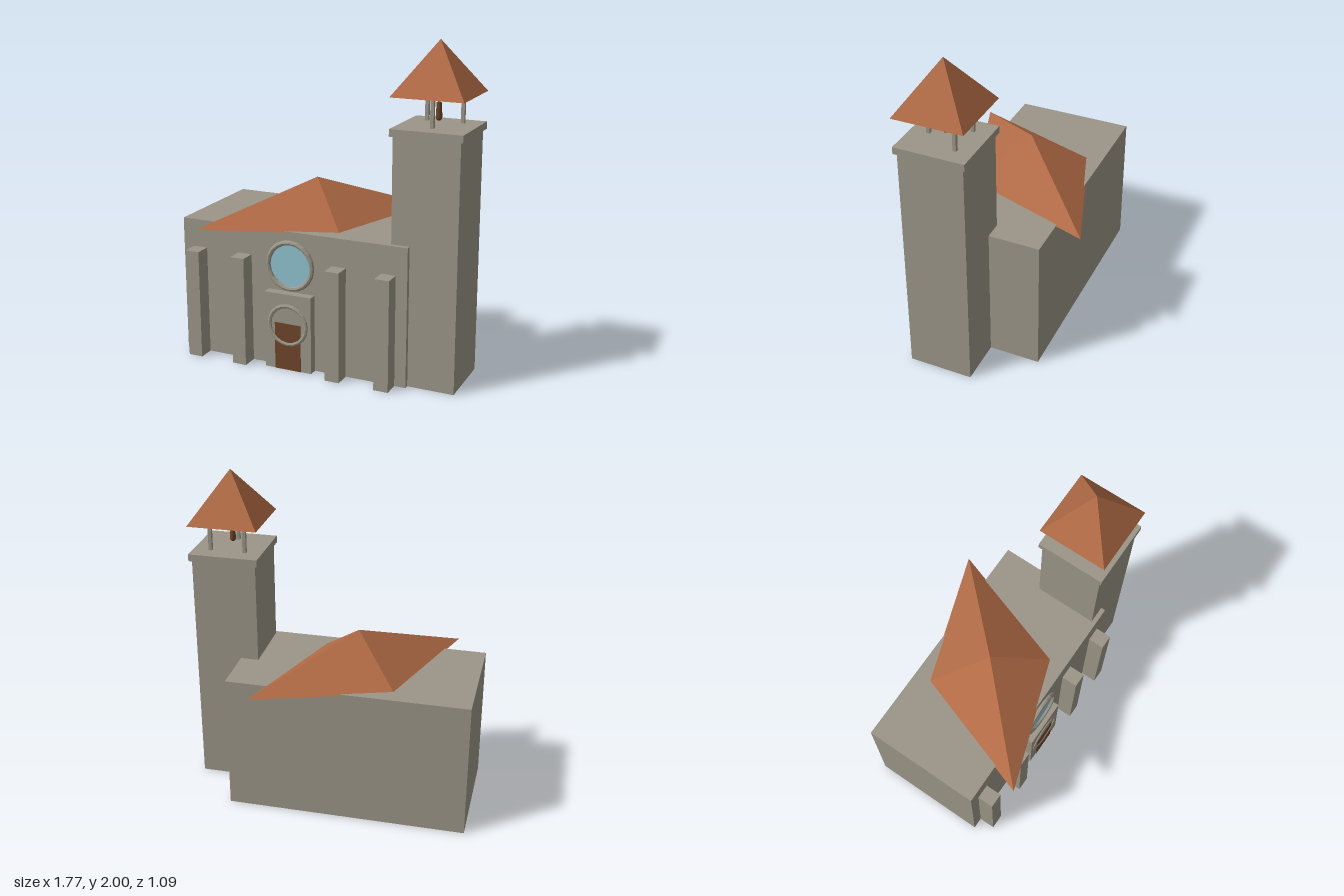
import * as THREE from 'three';

const mat = (color) => new THREE.MeshStandardMaterial({ color, flatShading: true });

export function createModel() {
  const model = new THREE.Group();
  const stone = mat(0x9b9688), tile = mat(0xb06a45), wood = mat(0x6f452b);
  const bronze = mat(0x6b4423), glass = mat(0x8fc3d0);

  const add = (parent, name, geometry, material, x, y, z) => {
    const mesh = new THREE.Mesh(geometry, material);
    mesh.name = name;
    mesh.position.set(x, y, z);
    parent.add(mesh);
    return mesh;
  };
  // Box given by centre x/z, bottom y and size
  const block = (parent, name, material, x, y, z, w, h, d) =>
    add(parent, name, new THREE.BoxGeometry(w, h, d), material, x, y + h / 2, z);

  // Church body, centred on its own axis
  const cx = -0.154;
  const church = new THREE.Group();
  church.name = 'church';
  church.position.x = cx;
  model.add(church);
  block(church, 'nave', stone, 0, 0, 0, 1.47, 0.853, 0.738);

  // Stretched pyramid roof, set diagonally on the nave
  const roof = add(church, 'naveRoof', new THREE.ConeGeometry(1, 1, 4), tile, 0, 0.975, 0);
  roof.scale.set(0.768, 0.256, 0.384);
  roof.rotation.y = Math.PI / 4;

  // Front buttresses
  for (const x of [-0.62, -0.31, 0.31, 0.62])
    block(church, 'buttress', stone, x, 0, 0.415, 0.09, 0.68, 0.11);

  // Entrance: porch, door and ring
  block(church, 'porch', stone, 0, 0, 0.39, 0.306, 0.48, 0.065);
  block(church, 'door', wood, 0, 0, 0.415, 0.17, 0.295, 0.022);
  add(church, 'doorRing', new THREE.TorusGeometry(0.121, 0.014, 8, 20), stone, 0, 0.286, 0.419);

  // Round window
  const pane = add(church, 'windowGlass', new THREE.CylinderGeometry(0.142, 0.142, 0.03, 20), glass, 0, 0.646, 0.365);
  pane.rotation.x = Math.PI / 2;
  add(church, 'windowRing', new THREE.TorusGeometry(0.144, 0.015, 8, 20), stone, 0, 0.646, 0.383);

  // Bell tower
  const tower = new THREE.Group();
  tower.name = 'bellTower';
  tower.position.set(0.667, 0, 0.143);
  model.add(tower);
  block(tower, 'towerShaft', stone, 0, 0, 0, 0.395, 1.48, 0.395);
  block(tower, 'towerCap', stone, 0, 1.477, 0, 0.428, 0.043, 0.428);

  // Three posts carry the roof
  for (const [x, z] of [[-0.107, -0.107], [0.107, -0.107], [0, 0.107]])
    block(tower, 'belfryPost', stone, x, 1.52, z, 0.021, 0.177, 0.021);

  const spire = add(tower, 'towerRoof', new THREE.ConeGeometry(0.303, 0.305, 4), tile, 0, 1.8475, 0);
  spire.rotation.y = Math.PI / 4;

  // Bell with clapper
  add(tower, 'bell', new THREE.CylinderGeometry(0.015, 0.019, 0.085, 12), bronze, 0, 1.607, 0);
  add(tower, 'clapper', new THREE.SphereGeometry(0.018, 12, 8), bronze, 0, 1.564, 0);

  return model;
}
